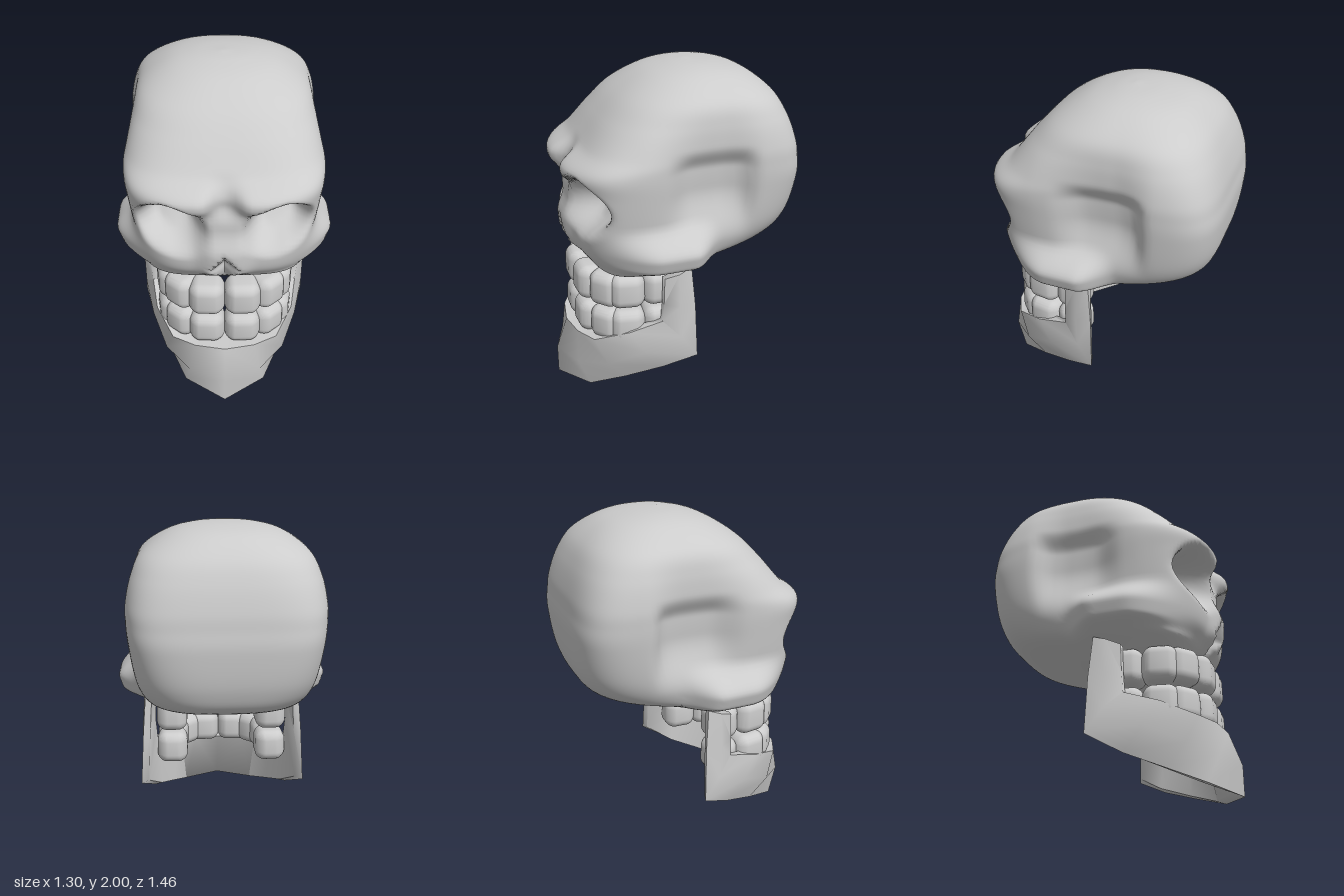
import * as THREE from 'three';
import { toCreasedNormals } from 'three/addons/utils/BufferGeometryUtils.js';
import { RoundedBoxGeometry } from 'three/addons/geometries/RoundedBoxGeometry.js';

const bone = new THREE.MeshStandardMaterial({ color: 0xcccccc });
bone.name = 'bone grey';

const step = (a, b, v) => THREE.MathUtils.smoothstep(v, a, b);
const band = (a, b, c, d, v) => step(a, b, v) * (1 - step(c, d, v));

function build(points, index, crease) {
  const g = new THREE.BufferGeometry();
  g.setAttribute('position', new THREE.Float32BufferAttribute(points, 3));
  g.setIndex(index);
  return toCreasedNormals(g, crease);
}

function addMesh(parent, geometry, name) {
  const mesh = new THREE.Mesh(geometry, bone);
  mesh.name = name;
  parent.add(mesh);
  return mesh;
}

// Horizontal sections of the head:
// y, front z, back z, half width, front squareness, back squareness
const sections = [
  [0.80, 0.28, 0.28, 0.00, 3.4, 2.4],
  [0.80, 0.43, 0.12, 0.29, 3.6, 2.4],
  [0.85, 0.51, -0.05, 0.44, 3.8, 2.4],
  [0.90, 0.555, -0.36, 0.47, 3.8, 2.6],
  [0.98, 0.605, -0.61, 0.50, 4.0, 3.0],
  [1.12, 0.62, -0.70, 0.54, 4.2, 3.8],
  [1.35, 0.62, -0.73, 0.57, 4.6, 4.6],
  [1.48, 0.63, -0.72, 0.58, 4.5, 4.7],
  [1.58, 0.54, -0.705, 0.578, 3.6, 4.3],
  [1.72, 0.43, -0.66, 0.55, 2.9, 3.7],
  [1.84, 0.31, -0.59, 0.49, 2.6, 3.1],
  [1.94, 0.15, -0.46, 0.34, 2.3, 2.5],
  [1.985, 0.0, -0.30, 0.19, 2.1, 2.2],
  [2.00, -0.12, -0.12, 0.00, 2.0, 2.0],
];

// Carves sockets, nose and temples, and raises brows and cheekbones
function sculpt(x, y, z) {
  const ax = Math.abs(x);
  const side = Math.sign(x);
  let dx = 0, dz = 0;
  if (z > 0.2) {
    const lift = 0.2 * (Math.min(ax, 0.34) - 0.29);
    const eye = Math.hypot((ax - 0.3) / 0.215, (y - 1.262 - lift) / 0.195);
    const depth = 0.12 + 0.12 * step(1.08, 1.36, y);
    dz -= depth * (1 - step(0.35, 1.06, eye));
    dz += 0.045 * band(0.03, 0.15, 0.18, 0.52, ax) * band(1.34, 1.43, 1.46, 1.57, y);
    dz -= 0.04 * (1 - step(0, 0.12, ax)) * band(1.3, 1.42, 1.48, 1.6, y);
    dz += 0.045 * (1 - step(0.05, 0.19, ax)) * band(0.84, 1.0, 1.1, 1.25, y);
    const nose = ax / 0.09 + Math.abs(y - 0.99) / 0.125;
    dz -= 0.11 * Math.max(0, 1 - nose);
  }
  if (z < -0.3) dz += 0.035 * step(0, 0.42, ax) * step(-0.3, -0.55, z);
  if (ax > 0.25) {
    dx -= 0.055 * band(-0.42, -0.17, -0.1, 0.32, z) * band(0.98, 1.35, 1.5, 1.95, y);
    dx -= 0.055 * band(-0.38, -0.28, 0.0, 0.2, z) * band(1.02, 1.35, 1.47, 1.61, y);
    dx += 0.142 * band(-0.18, 0.03, 0.22, 0.58, z) * band(0.83, 0.94, 1.0, 1.18, y);
  }
  return [x + side * dx, y, z + dz];
}

function craniumGeometry() {
  const rows = 104, perSide = 40, cols = perSide * 4;
  const spline = new THREE.CubicInterpolant(
    sections.map((_, i) => i), sections.flat(), 6, new Float32Array(6));
  const points = [], index = [];
  for (let i = 0; i <= rows; i++) {
    const [y, front, back, w, nFront, nBack] =
      spline.evaluate(i / rows * (sections.length - 1));
    for (let j = 0; j < cols; j++) {
      const f = 2 * (j % perSide) / perSide - 1;
      const [u, v] = [[f, 1], [1, -f], [-f, -1], [-1, f]][Math.floor(j / perSide)];
      const n = v > 0 ? nFront : nBack;
      const r = (Math.abs(u) ** n + Math.abs(v) ** n) ** (-1 / n);
      points.push(...sculpt(u * r * w, y, (front + back) / 2 + v * r * (front - back) / 2));
      if (i < rows) {
        const a = i * cols + j, b = i * cols + (j + 1) % cols;
        if (i > 0) index.push(a, b, a + cols);
        if (i < rows - 1) index.push(b, b + cols, a + cols);
        else index.push(a, b, a + cols);
      }
    }
  }
  return build(points, index, 1.6);
}

// Jaw sections from the left ramus to the chin:
// top outer, side, bottom outer, bottom inner, top inner
const jawHalf = [
  [[0.47, 0.81, 0.16], [0.50, 0.84, 0.08], [0.49, 0.87, 0.0], [0.45, 0.87, 0.0], [0.43, 0.81, 0.16]],
  [[0.47, 0.64, 0.165], [0.515, 0.63, 0.08], [0.51, 0.62, -0.02], [0.465, 0.62, -0.01], [0.43, 0.64, 0.165]],
  [[0.46, 0.52, 0.17], [0.515, 0.42, 0.07], [0.53, 0.28, -0.03], [0.48, 0.295, -0.015], [0.42, 0.52, 0.17]],
  [[0.425, 0.46, 0.37], [0.46, 0.32, 0.28], [0.44, 0.18, 0.16], [0.40, 0.20, 0.14], [0.36, 0.46, 0.34]],
  [[0.32, 0.39, 0.56], [0.37, 0.23, 0.49], [0.35, 0.10, 0.38], [0.32, 0.115, 0.35], [0.26, 0.40, 0.45]],
  [[0.18, 0.385, 0.63], [0.22, 0.19, 0.645], [0.25, 0.03, 0.58], [0.23, 0.045, 0.53], [0.16, 0.385, 0.48]],
  [[0, 0.38, 0.66], [0, 0.18, 0.73], [0, 0.0, 0.73], [0, 0.03, 0.66], [0, 0.38, 0.50]],
];

function jawGeometry() {
  const mirrored = jawHalf.slice(0, -1).reverse()
    .map((ring) => ring.map(([x, y, z]) => [-x, y, z]));
  const rings = [...jawHalf, ...mirrored];
  const n = 5, last = (rings.length - 1) * n, index = [];
  for (let i = 0; i < rings.length - 1; i++) {
    for (let j = 0; j < n; j++) {
      const a = i * n + j, b = i * n + (j + 1) % n;
      // mirrored quads use the mirrored diagonal
      if (i < jawHalf.length - 1) index.push(a, a + n, b, b, a + n, b + n);
      else index.push(a, a + n, b + n, a, b + n, b);
    }
  }
  for (let j = 1; j < n - 1; j++) {
    index.push(0, j, j + 1, last, last + j + 1, last + j);
  }
  return build(rings.flat(2), index, 1.2);
}

// Tooth block with swollen sides, narrowing from one end to the other
function toothGeometry(width, height, taper) {
  const g = new RoundedBoxGeometry(width, height, 0.2, 5, 0.06);
  const p = g.attributes.position;
  for (let i = 0; i < p.count; i++) {
    const t = p.getY(i) / height;
    const k = 1.01 - taper * (t + 0.5) - 0.25 * t * t;
    const q = 2 * p.getX(i) / width;
    p.setX(i, p.getX(i) * k);
    p.setZ(i, p.getZ(i) * (0.5 + k / 2) * (1.05 - 0.3 * q * q));
  }
  return toCreasedNormals(g, 1.2);
}

// Places along one half of the dental arch: x, z, turn, width
const arch = [
  [0.106, 0.515, 0.04, 0.22],
  [0.25, 0.445, 0.72, 0.21],
  [0.312, 0.35, 1.40, 0.22],
  [0.322, 0.155, 1.54, 0.215],
];

function teethRow(name, y, height, taper) {
  const row = new THREE.Group();
  row.name = name;
  for (const side of [1, -1]) {
    for (const [x, z, turn, width] of arch) {
      const tooth = addMesh(row, toothGeometry(width, height, taper), 'tooth');
      tooth.position.set(side * x, y, z);
      tooth.rotation.y = side * turn;
    }
  }
  return row;
}

export function createModel() {
  const model = new THREE.Group();
  model.name = 'skull';
  addMesh(model, craniumGeometry(), 'cranium');
  addMesh(model, jawGeometry(), 'lowerJaw');
  model.add(teethRow('upperTeeth', 0.708, 0.216, 0.04));
  model.add(teethRow('lowerTeeth', 0.477, 0.205, 0.05));
  return model;
}
